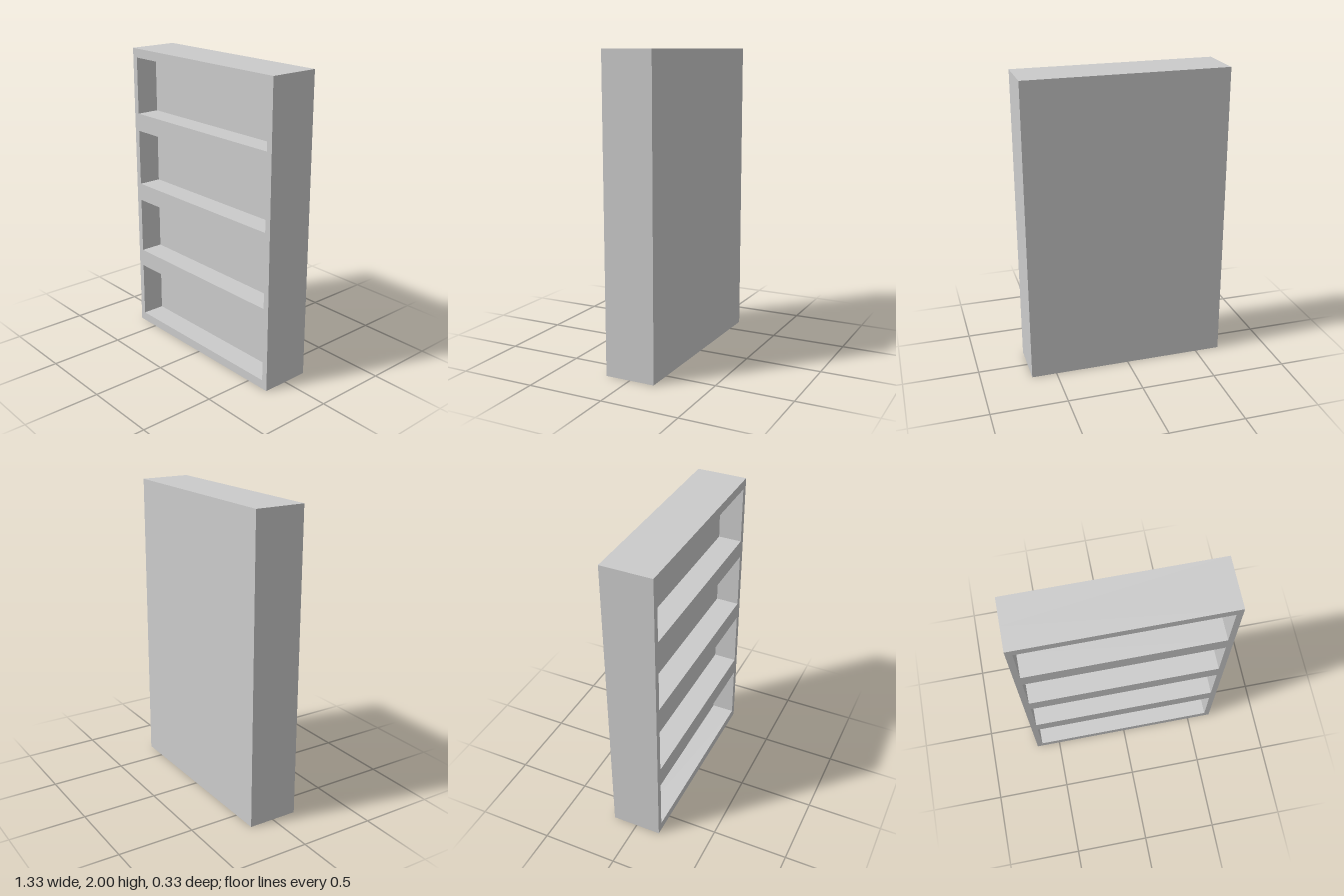
import * as THREE from 'three';

const WIDTH = 1.333, HEIGHT = 2, DEPTH = 0.333;
const RECESS = 0.156;       // depth of each compartment
const SIDE = 0.04;          // side wall thickness
const BAYS = 4, EDGE = 0.06; // solid margin above and below each compartment

function rectangle(target, x0, y0, x1, y1) {
  target.moveTo(x0, y0);
  target.lineTo(x1, y0);
  target.lineTo(x1, y1);
  target.lineTo(x0, y1);
  target.closePath();
  return target;
}

export function createModel() {
  const group = new THREE.Group();
  group.name = 'shelfUnit';
  const material = new THREE.MeshStandardMaterial({ color: 0xcccccc });

  // Front frame with one opening per compartment
  const w = WIDTH / 2;
  const outline = rectangle(new THREE.Shape(), -w, 0, w, HEIGHT);
  const bay = HEIGHT / BAYS;
  for (let i = 0; i < BAYS; i++) {
    outline.holes.push(rectangle(new THREE.Path(),
      -w + SIDE, i * bay + EDGE, w - SIDE, (i + 1) * bay - EDGE));
  }
  const frame = new THREE.Mesh(
    new THREE.ExtrudeGeometry(outline, { depth: RECESS, bevelEnabled: false }), material);
  frame.name = 'shelfFrame';
  frame.position.z = DEPTH / 2 - RECESS;
  group.add(frame);

  // Solid back closing the compartments
  const backDepth = DEPTH - RECESS;
  const back = new THREE.Mesh(new THREE.BoxGeometry(WIDTH, HEIGHT, backDepth), material);
  back.name = 'backPanel';
  back.position.set(0, HEIGHT / 2, -DEPTH / 2 + backDepth / 2);
  group.add(back);

  return group;
}
